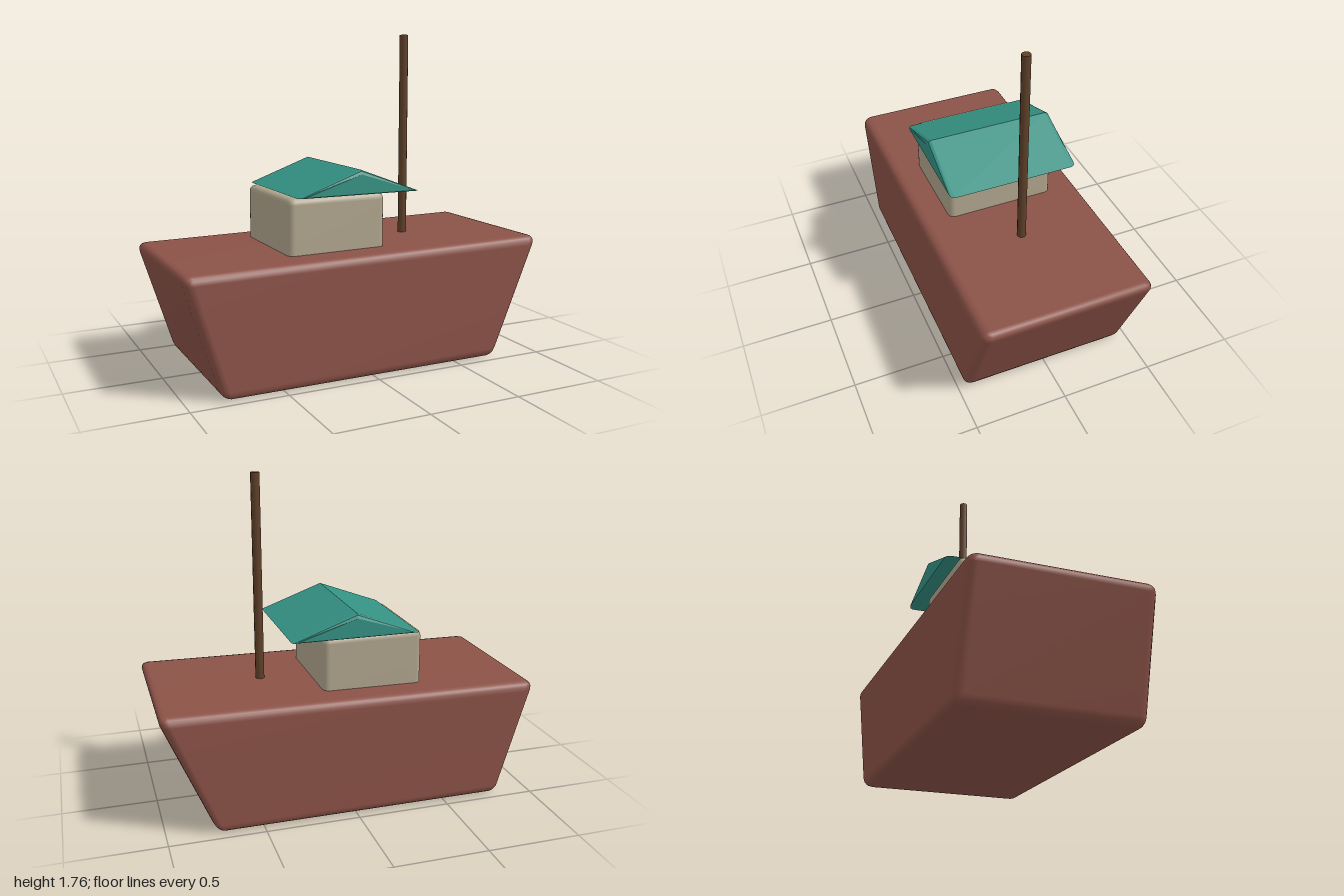
import * as THREE from 'three';
import { mergeVertices } from 'three/addons/utils/BufferGeometryUtils.js';
import { RoundedBoxGeometry } from 'three/addons/geometries/RoundedBoxGeometry.js';

const paint = (name, color) => {
  const m = new THREE.MeshStandardMaterial({ color });
  m.name = name;
  return m;
};

// Rounded box with shared, smooth normals; an optional rule reshapes its vertices.
function softBox(w, h, d, radius, reshape) {
  let geo = new RoundedBoxGeometry(w, h, d, 2, radius);
  geo.deleteAttribute('normal');
  geo.deleteAttribute('uv');
  geo.clearGroups();
  geo = mergeVertices(geo, 1e-4);
  const p = geo.attributes.position;
  if (reshape) {
    for (let i = 0; i < p.count; i++) {
      p.setXYZ(i, ...reshape(p.getX(i), p.getY(i), p.getZ(i)));
    }
  }
  geo.computeVertexNormals();
  return geo;
}

export function createModel() {
  const boat = new THREE.Group();
  boat.name = 'boat';
  const add = (name, geo, mat, x = 0, y = 0, z = 0) => {
    const mesh = new THREE.Mesh(geo, mat);
    mesh.name = name;
    mesh.position.set(x, y, z);
    boat.add(mesh);
  };

  const hullRed = paint('hull red brown', 0x8b5247);
  const cabinBeige = paint('cabin beige', 0xb0a58d);
  const roofTeal = paint('roof teal', 0x349183);
  const mastBrown = paint('mast brown', 0x5e4029);

  // Hull: both ends rake outward and the deck rises slightly toward the bow
  const H = 0.65;
  const lerp = THREE.MathUtils.lerp;
  add('hull', softBox(2, H, 0.93, 0.05, (x, y, z) => {
    const t = (y + H / 2) / (H - 0.05);
    const nx = x < 0 ? -x * lerp(-0.815, -1, t) : x * lerp(0.74, 1, t);
    return [nx, (y + H / 2) * (0.648 + 0.0125 * nx) / H, z];
  }), hullRed);

  // Cabin, its foot sunk into the deck
  add('cabin', softBox(0.545, 0.4, 0.6, 0.035), cabinBeige, -0.137, 0.737, 0);

  // Gabled roof with bevelled ends
  const gable = new THREE.Shape([
    new THREE.Vector2(-0.345, 0),
    new THREE.Vector2(0.345, 0),
    new THREE.Vector2(0, 0.13),
  ]);
  const bevel = 0.022;
  const roof = new THREE.ExtrudeGeometry(gable, {
    depth: 0.71 - 2 * bevel,
    bevelThickness: bevel,
    bevelSize: bevel,
    bevelOffset: -bevel,
    bevelSegments: 2,
  });
  roof.translate(0, 0, -0.355 + bevel);
  add('roof', roof, roofTeal, -0.03, 0.94, 0);

  // Mast
  add('mast', new THREE.CylinderGeometry(0.024, 0.024, 1.16, 10), mastBrown, 0.41, 1.18, 0);

  return boat;
}
